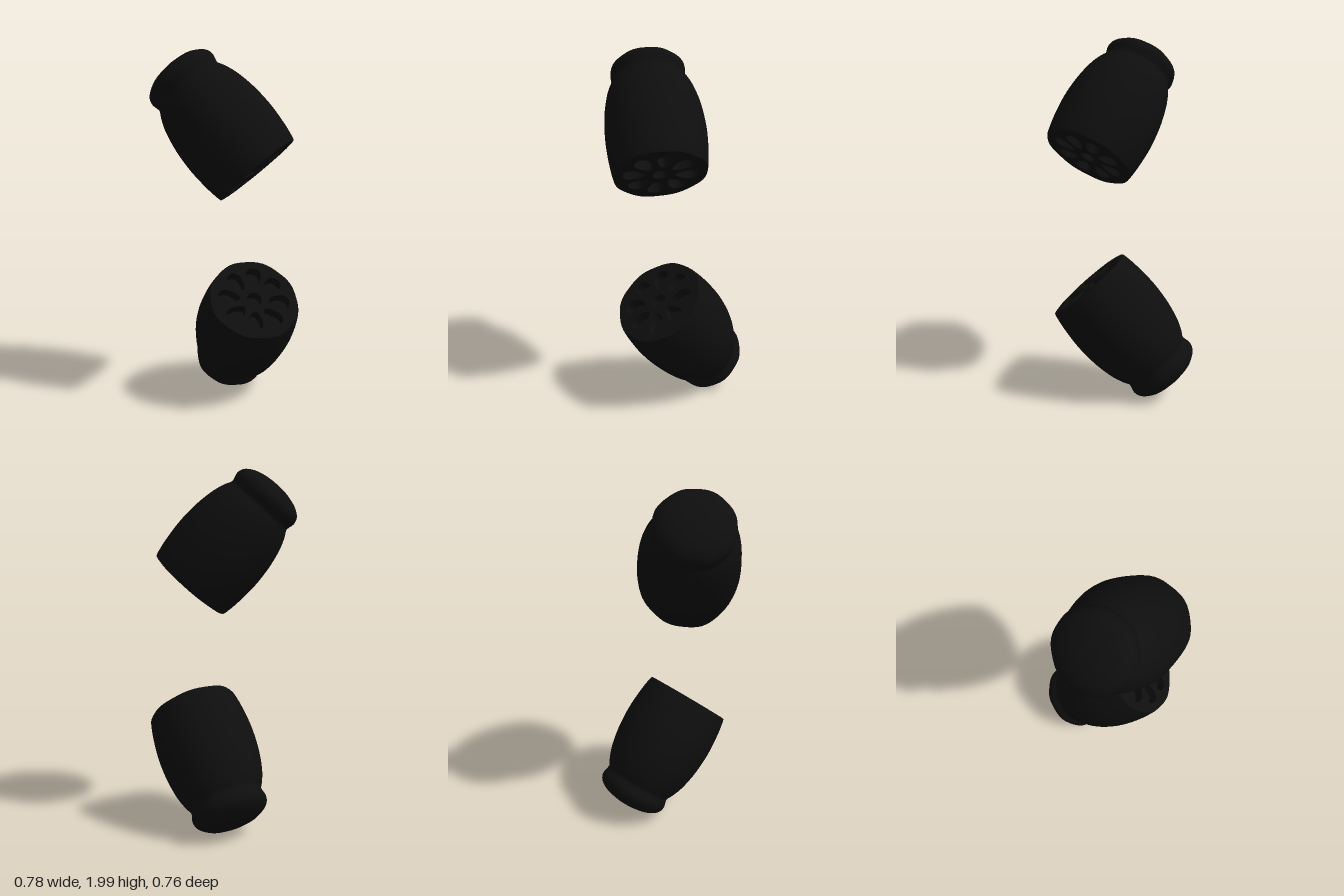
import * as THREE from 'three';

const material = new THREE.MeshStandardMaterial({ color: 0x0e0e0e });
const HOLE_DEPTH = 0.06;
const FACE_RADIUS = 0.25;

// Gently lobed cross-section shared by skin and cut face
function lobe(geometry) {
  const p = geometry.attributes.position;
  for (let i = 0; i < p.count; i++) {
    const a = Math.atan2(p.getZ(i), p.getX(i));
    const s = 1 + 0.01 * Math.cos(8 * a) + 0.01 * Math.cos(3 * a + 1);
    p.setXYZ(i, p.getX(i) * s, p.getY(i), p.getZ(i) * s);
  }
  return geometry;
}

// Rounded petal hole, narrow towards the middle
function petalHole(angle) {
  const outline = [
    [0.08, 0], [0.093, 0.018], [0.125, 0.036], [0.165, 0.044],
    [0.195, 0.028], [0.203, 0], [0.195, -0.028], [0.165, -0.044],
    [0.125, -0.036], [0.093, -0.018],
  ].map(([x, y]) => new THREE.Vector3(x, y, 0));
  const curve = new THREE.CatmullRomCurve3(outline, true);
  const c = Math.cos(angle), s = Math.sin(angle);
  const points = curve.getPoints(28).slice(0, -1)
    .map(v => new THREE.Vector2(v.x * c - v.y * s, v.x * s + v.y * c));
  return new THREE.Path(points);
}

// One cut root piece: cut face at the origin facing -y, knob end towards +y
function rootPiece(name) {
  const piece = new THREE.Group();
  piece.name = name;
  const add = (geometry, part) => {
    const mesh = new THREE.Mesh(lobe(geometry), material);
    mesh.name = part;
    piece.add(mesh);
  };

  // Barrel-shaped skin, shallow neck groove and rounded knob
  const profile = new THREE.SplineCurve([
    [FACE_RADIUS, 0], [0.256, 0.02], [0.268, 0.1], [0.276, 0.23], [0.268, 0.36],
    [0.247, 0.47], [0.222, 0.54], [0.202, 0.578], [0.203, 0.6], [0.21, 0.635],
    [0.196, 0.672], [0.155, 0.702], [0.1, 0.72], [0.05, 0.728], [0, 0.73],
  ].map(([r, y]) => new THREE.Vector2(r, y)));
  const points = profile.getPoints(60);
  points.forEach(p => { p.x = Math.max(p.x, 0); });
  add(new THREE.LatheGeometry(points, 64), 'skin');

  // Cut face pierced by a ring of petal holes around a small centre hole
  const face = new THREE.Shape();
  face.absarc(0, 0, FACE_RADIUS, 0, Math.PI * 2, false);
  for (let i = 0; i < 8; i++) face.holes.push(petalHole((i + 0.3) * Math.PI / 4));
  const centre = new THREE.Path();
  centre.absarc(0, 0, 0.042, 0, Math.PI * 2, true);
  face.holes.push(centre);
  const plate = new THREE.ExtrudeGeometry(face, { depth: HOLE_DEPTH, bevelEnabled: false, curveSegments: 32 });
  plate.rotateX(Math.PI / 2).translate(0, HOLE_DEPTH, 0);
  add(plate, 'cutFace');

  // Floor closing the holes
  const floor = new THREE.CircleGeometry(FACE_RADIUS, 48);
  floor.rotateX(Math.PI / 2).translate(0, HOLE_DEPTH - 0.003, 0);
  add(floor, 'holeFloor');
  return piece;
}

function place(piece, faceCentre, axis) {
  piece.position.set(...faceCentre);
  piece.quaternion.setFromUnitVectors(new THREE.Vector3(0, 1, 0), new THREE.Vector3(...axis).normalize());
  return piece;
}

export function createModel() {
  const model = new THREE.Group();
  model.name = 'cutRoot';
  // Two halves with their cut faces turned towards each other and the front
  model.add(place(rootPiece('upperHalf'), [0.025, 1.36, 0.175], [-0.32, 0.75, -0.58]));
  model.add(place(rootPiece('lowerHalf'), [0.01, 0.64, 0.172], [0.29, -0.75, -0.59]));
  return model;
}
